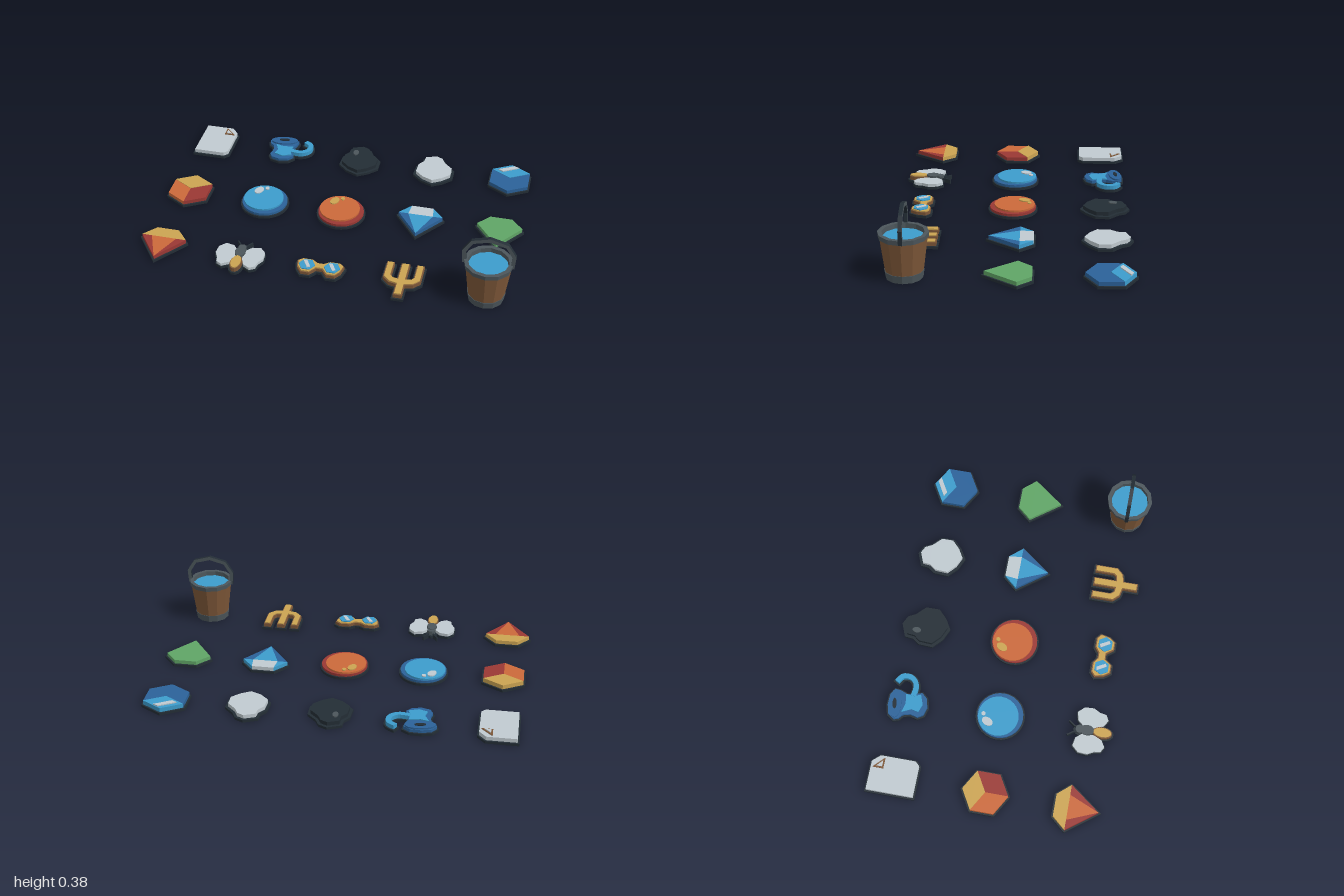
import * as THREE from 'three';

const colour = (name, hex) => {
  const m = new THREE.MeshStandardMaterial({ color: hex });
  m.name = name;
  m.flatShading = true;
  return m;
};

// Outline helpers: all icon points are [x, z] in hundredths of a unit
const ellipse = (cx, cz, rx, rz, n = 20, turn = 0) =>
  Array.from({ length: n }, (_, i) => {
    const a = (i / n) * Math.PI * 2;
    const x = Math.cos(a) * rx, z = Math.sin(a) * rz;
    return [cx + x * Math.cos(turn) - z * Math.sin(turn), cz + x * Math.sin(turn) + z * Math.cos(turn)];
  });

const mirror = (pts) => pts.map(([x, z]) => [-x, z]);

// Grow (or shrink) an outline by d along its corner normals
function grow(pts, d) {
  if (!d) return pts;
  const s = Math.sign(THREE.ShapeUtils.area(pts.map((p) => new THREE.Vector2(...p))));
  const normal = (a, b) => {
    const l = Math.hypot(b[0] - a[0], b[1] - a[1]);
    return [(s * (b[1] - a[1])) / l, (-s * (b[0] - a[0])) / l];
  };
  return pts.map((p, i) => {
    const n = pts.length;
    const u = normal(pts[(i + n - 1) % n], p), v = normal(p, pts[(i + 1) % n]);
    const k = d / Math.max(0.5, 1 + u[0] * v[0] + u[1] * v[1]);
    return [p[0] + (u[0] + v[0]) * k, p[1] + (u[1] + v[1]) * k];
  });
}

// Band of constant width along a smooth or straight path
function ribbon(path, width, steps = 0) {
  let pts = path.map((p) => new THREE.Vector2(...p));
  if (steps) pts = new THREE.SplineCurve(pts).getPoints(steps);
  const left = [], right = [];
  pts.forEach((p, i) => {
    const t = pts[Math.min(i + 1, pts.length - 1)].clone().sub(pts[Math.max(i - 1, 0)]).normalize();
    left.push([p.x - (t.y * width) / 2, p.y + (t.x * width) / 2]);
    right.unshift([p.x + (t.y * width) / 2, p.y - (t.x * width) / 2]);
  });
  return [...left, ...right];
}

export function createModel() {
  const dark = colour('dark', 0x232d35), grey = colour('iron grey', 0x4c565b);
  const light = colour('pale grey', 0xc0cad0), blue = colour('blue', 0x3c9ccc);
  const navy = colour('deep blue', 0x2b6299), orange = colour('orange', 0xcb693a);
  const red = colour('red', 0x9a3834), gold = colour('gold', 0xcba452);
  const brown = colour('brown', 0x7d5738), green = colour('green', 0x60a566);

  const model = new THREE.Group();
  model.name = 'itemSet';
  const BASE = 0.014, BODY = 0.035;

  // A group at one cell of the grid, with functions to add plates
  function item(name, col, row) {
    const group = new THREE.Group();
    group.name = name;
    group.position.set((col - 2) * 0.4325, 0, (row - 1) * 0.5 - (row === 2 ? 0.005 : 0));
    model.add(group);
    const plate = (part, pts, mat, y0 = BASE, y1 = BODY) => {
      const shape = new THREE.Shape(pts.map(([x, z]) => new THREE.Vector2(x / 100, -z / 100)));
      const geo = new THREE.ExtrudeGeometry(shape, { depth: y1 - y0, bevelEnabled: false });
      geo.rotateX(-Math.PI / 2).translate(0, y0, 0);
      const mesh = new THREE.Mesh(geo, mat);
      mesh.name = part;
      group.add(mesh);
    };
    const base = (pts, d = 0.9) => plate('backing', grow(pts, d), dark, 0, BASE);
    const detail = (part, pts, mat, y = BODY, h = 0.006) => plate(part, pts, mat, y, y + h);
    return { group, plate, base, detail };
  }

  // Sheet of paper with folded corner
  {
    const { plate, base, detail } = item('paper', 0, 0);
    const page = [[-9.7, -12.7], [6, -12.7], [9.7, -8.5], [9.7, 10.5], [7.5, 12.7], [-9.7, 12.7]];
    base(page);
    plate('page', page, light);
    detail('foldEdge', [[2.8, -11.8], [2.8, -5.8], [8.8, -5.8]], brown, BODY, 0.004);
    detail('fold', [[3.7, -9.8], [3.7, -6.6], [7, -6.6]], light, BODY, 0.008);
  }

  // Curved vessel with a hooked tail
  {
    const { plate, base, detail } = item('hookedVessel', 1, 0);
    const body = [[-12.4, -6.5], [-10, -9.8], [-5, -11.2], [1, -11], [4.4, -8.8], [4, -5.5], [2.6, -2],
      [3.2, 2], [4.6, 6], [2, 9], [-3, 10.3], [-7.5, 9], [-9.3, 6], [-8.3, 2], [-9.2, -2], [-11.6, -4]];
    const hook = ribbon([[2, 1.5], [8, 2], [12, -1], [12.2, -6], [8.5, -8.8]], 2.8, 14);
    base(body);
    base(hook);
    plate('body', body, navy, BASE, 0.03);
    plate('hook', hook, blue, BASE, 0.037);
    detail('bodyFace', [[-8, -3], [-3, -1.6], [2.4, -2.6], [2, 2], [3.4, 5.6], [-2, 7.6], [-6.5, 6], [-5.6, 2]], blue, 0.03);
    detail('rim', ellipse(-4, -7.3, 7.8, 3.4, 18, -0.15), navy, 0.03, 0.009);
    detail('mouth', ellipse(-4, -7.5, 3, 1.1, 14, -0.15), dark, 0.039, 0.004);
  }

  // Lumps of rock, one dark and one pale
  const lump = [[-0.5, -12.4], [3.5, -10.5], [5.6, -6.5], [10.4, -1.8], [10.4, 5], [5.8, 9.5], [0.5, 12.6],
    [-5.5, 10], [-10.4, 5.4], [-10, -2], [-7.4, -5.5], [-7, -9.8]];
  for (const [name, col, mat] of [['darkLump', 2, dark], ['paleLump', 3, light]]) {
    const { plate, base, detail } = item(name, col, 0);
    base(lump);
    plate('rock', grow(lump, -0.6), mat);
    if (mat === dark) detail('glint', ellipse(-3.6, -4.4, 1.6, 2.4, 12), grey);
  }

  // Cubes drawn as three rhombic faces
  const hex = ellipse(0, 0, 12.4, 12.4, 6, Math.PI / 6);
  const cubes = [['blueCube', 4, 0, blue, navy, navy], ['orangeCube', 0, 1, gold, orange, red]];
  for (const [name, col, row, top, left, right] of cubes) {
    const { plate, base, detail } = item(name, col, row);
    base(hex);
    const o = [0, 0];
    plate('rightFace', [o, hex[5], hex[0], hex[1]], right);
    plate('leftFace', [o, hex[1], hex[2], hex[3]], left);
    plate('topFace', [o, hex[3], hex[4], hex[5]], top, BASE, 0.038);
    if (top === blue) detail('glint', [[-7.2, -6], [1.5, -10.8], [4.2, -9.6], [-4.5, -4.6]], light, 0.038);
  }

  // Round orbs with two glints
  const orbs = [['blueOrb', 1, navy, blue, light], ['orangeOrb', 2, red, orange, gold]];
  for (const [name, col, rim, face, glint] of orbs) {
    const { plate, base, detail } = item(name, col, 1);
    base(ellipse(0, 0, 12.5, 12.5, 28));
    plate('rim', ellipse(0, 0, 12.5, 12.5, 28), rim, BASE, 0.028);
    plate('face', ellipse(-0.9, -0.9, 11, 11, 28), face, 0.028, 0.038);
    detail('glint', ellipse(-5, -6.2, 2.2, 3.2, 14, 0.4), glint, 0.038);
    detail('smallGlint', ellipse(-1, -9, 1.2, 1.2, 10), glint, 0.038);
  }

  // Cut gems, each made of six facets
  const gems = [['blueGem', 3, 1, [blue, light, blue, navy, blue, navy]],
    ['greenGem', 4, 1, [green, green, green, green, green, green]],
    ['goldGem', 0, 2, [gold, gold, gold, red, orange, red]]];
  for (const [name, col, row, mats] of gems) {
    const { plate, base } = item(name, col, row);
    const a = [-6, -12.2], b = [6, -12.2], g = [-12.2, -5], h = [12.2, -5];
    const p = [-6.8, -5], q = [6.8, -5], tip = [0, 11.2];
    base([a, b, h, tip, g]);
    [[a, p, g], [a, b, q, p], [b, h, q], [g, p, tip], [p, q, tip], [q, h, tip]]
      .forEach((f, i) => plate('facet' + (i + 1), f, mats[i]));
  }

  // Winged insect
  {
    const { plate, base, detail } = item('insect', 1, 2);
    const wing = [[2, -4], [5, -7.5], [9.5, -8.4], [12.6, -5], [12.9, 0], [11, 3.5], [10.4, 7], [7.5, 8.6], [4, 6.5], [2, 2]];
    for (const [side, w] of [['left', wing], ['right', mirror(wing)]]) {
      base(w, 0.5);
      plate(side + 'Wing', w, light, BASE, 0.03);
      const feeler = ribbon([[1, -7], [2, -9.5], [4, -12.2]], 0.8);
      plate(side + 'Antenna', side === 'left' ? feeler : mirror(feeler), dark, 0, 0.025);
    }
    const tail = ellipse(0, 6.3, 3.1, 5.4, 14);
    base(tail);
    base(ellipse(0, -3, 2.9, 5.5, 12));
    plate('abdomenEdge', tail, brown, BASE, 0.036);
    detail('abdomen', grow(tail, -0.5), gold, 0.036);
    plate('thorax', ellipse(0, -2, 2.8, 3.8, 12), grey, BASE, 0.042);
    plate('head', ellipse(0, -6, 2.3, 2.2, 10), grey, BASE, 0.038);
  }

  // Goggles with two six-sided lenses
  {
    const { plate, base, detail } = item('goggles', 2, 2);
    const frame = [[-12.6, -3], [-10, -5.2], [-4.5, -5.2], [-1.5, -3], [1.5, -3], [4.5, -5.2], [10, -5.2], [12.6, -3],
      [11.5, 2], [9, 5.4], [4.5, 5.4], [1.6, 1.6], [-1.6, 1.6], [-4.5, 5.4], [-9, 5.4], [-11.5, 2]];
    base(frame);
    plate('frameEdge', frame, brown, BASE, 0.03);
    detail('frame', grow(frame, -0.6), gold, 0.03);
    for (const x of [-6.7, 6.7]) {
      detail('lens', ellipse(x, 0.1, 4.3, 4.3, 6), blue, 0.036, 0.005);
      detail('lensGlint', [[x - 2.4, -2.4], [x - 0.4, -2.8], [x + 2.2, 2], [x + 0.6, 2.8]], light, 0.041, 0.004);
    }
  }

  // Three-pronged fork
  {
    const { plate, base, detail } = item('fork', 3, 2);
    const half = [[2.3, 12.6], [2.3, 4.6], [6.5, 3.6], [9.9, 0], [9.9, -12.3], [5.8, -12.3], [5.8, -2], [4.6, -0.4],
      [2.3, 0], [2.3, -12.3]];
    const fork = [...half, ...mirror(half).reverse()];
    base(fork);
    plate('forkEdge', fork, brown, BASE, 0.034);
    detail('forkFace', grow(fork, -0.6), gold, 0.034);
  }

  // Wooden bucket of water with iron hoops and a carrying handle
  {
    const { group } = item('bucket', 4, 2);
    const N = 12;
    const lathe = (part, profile, mat) => {
      const geo = new THREE.LatheGeometry(profile.map((p) => new THREE.Vector2(...p)), N);
      const mesh = new THREE.Mesh(geo, mat);
      mesh.name = part;
      group.add(mesh);
    };
    lathe('staves', [[0.094, 0.03], [0.119, 0.222]], brown);
    lathe('bottomHoop', [[0, 0], [0.092, 0], [0.098, 0.04], [0.09, 0.04]], grey);
    lathe('topHoop', [[0.117, 0.211], [0.123, 0.211], [0.125, 0.235], [0.104, 0.235], [0.102, 0.2]], grey);
    lathe('water', [[0.104, 0.21], [0, 0.21]], blue);
    const path = [[-0.12, 0.215], [-0.125, 0.285], [-0.087, 0.346], [0, 0.37],
      [0.087, 0.346], [0.125, 0.285], [0.12, 0.215]];
    const shape = new THREE.Shape(ribbon(path, 0.02).map((p) => new THREE.Vector2(...p)));
    const geo = new THREE.ExtrudeGeometry(shape, { depth: 0.02, bevelEnabled: false }).translate(0, 0, -0.01);
    const handle = new THREE.Mesh(geo, [grey, dark]);
    handle.name = 'handle';
    group.add(handle);
  }

  return model;
}
